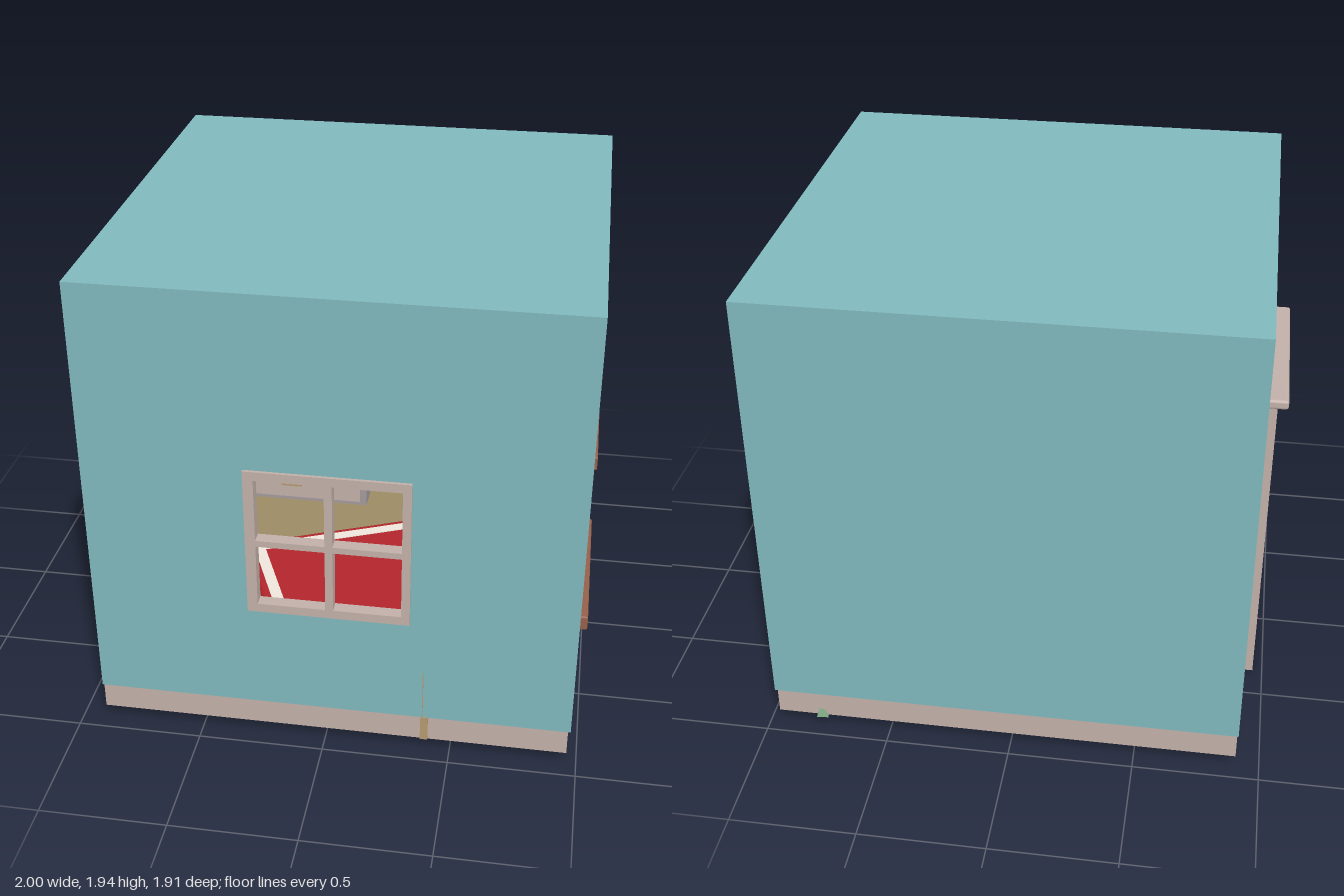
import * as THREE from 'three';
import { RoundedBoxGeometry } from 'three/addons/geometries/RoundedBoxGeometry.js';

const mat = (color, extra = {}) => new THREE.MeshStandardMaterial({ color, ...extra });
const teal = mat(0x80b8bd), trim = mat(0xc2b0a8), wood = mat(0x96604a), doorWood = mat(0x80503c);
const tan = mat(0x9c8a64), red = mat(0xb3262c), white = mat(0xeee6dc), grey = mat(0xa39a9c);
const brass = mat(0xb39a70), yellow = mat(0xd8b860), cactusGreen = mat(0x4a9a45);
const leafGreen = mat(0x7fa883, { flatShading: true, side: THREE.DoubleSide });

export function createModel() {
  const model = new THREE.Group();

  const add = (name, geometry, material, parent = model) => {
    const mesh = new THREE.Mesh(geometry, material);
    mesh.name = name;
    parent.add(mesh);
    return mesh;
  };
  // Box from its limits on each axis; a radius rounds its edges
  const box = (name, x0, x1, y0, y1, z0, z1, material, radius = 0, parent = model) => {
    const size = [x1 - x0, y1 - y0, z1 - z0];
    const geometry = radius ? new RoundedBoxGeometry(...size, 3, radius) : new THREE.BoxGeometry(...size);
    const mesh = add(name, geometry, material, parent);
    mesh.position.set((x0 + x1) / 2, (y0 + y1) / 2, (z0 + z1) / 2);
    return mesh;
  };
  const rect = (x0, x1, y0, y1, Type = THREE.Shape) => new Type([
    new THREE.Vector2(x0, y0), new THREE.Vector2(x1, y0), new THREE.Vector2(x1, y1), new THREE.Vector2(x0, y1)]);
  // Plate with rectangular openings, extruded along z
  const plate = (outer, holes, depth) => {
    const shape = rect(...outer);
    holes.forEach(h => shape.holes.push(rect(...h, THREE.Path)));
    return new THREE.ExtrudeGeometry(shape, { depth, bevelEnabled: false });
  };

  // Room shell
  add('frontWall', plate([-0.91, 0.97, 0.165, 1.94], [[-0.27, 0.315, 0.635, 1.215]], 0.03), teal).position.z = 0.91;
  box('backWall', -0.91, 0.97, 0.165, 1.94, -0.945, -0.915, teal);
  box('leftWall', 0.94, 0.97, 0.165, 1.94, -0.915, 0.91, teal);
  box('rightWall', -0.91, -0.88, 0.165, 1.94, -0.915, 0.91, teal);
  box('ceiling', -0.88, 0.94, 1.91, 1.94, -0.915, 0.91, teal);
  box('floor', -0.89, 0.95, 0.055, 0.075, -0.93, 0.92, tan);
  const skirting = plate([-0.905, 0.96, -0.935, 0.94], [[-0.86, 0.92, -0.89, 0.895]], 0.13);
  add('skirting', skirting.rotateX(-Math.PI / 2), trim).position.y = 0.055;
  box('skirtingPost', 0.383, 0.413, 0.056, 0.165, 0.9, 0.943, brass);
  box('thinRod', 0.389, 0.392, 0.165, 0.39, 0.9, 0.942, brass);

  // Window frame with four openings
  const panes = [];
  for (const [x0, x1] of [[-0.25, 0.012], [0.042, 0.302]])
    for (const [y0, y1] of [[0.65, 0.912], [0.938, 1.2]]) panes.push([x0, x1, y0, y1]);
  add('windowFrame', plate([-0.29, 0.335, 0.613, 1.237], panes, 0.05), trim).position.z = 0.902;

  // Door in the side wall
  box('doorSlab', -0.96, -0.888, 0, 1.345, -0.355, 0.355, trim);
  box('doorLintel', -1, -0.87, 1.342, 1.382, -0.4, 0.39, trim, 0.012);
  box('doorLeaf', -0.885, -0.865, 0.076, 1.3, -0.29, 0.29, doorWood);
  for (const s of [-1, 1]) {
    const z = s * 0.325;
    box('doorJamb', -0.885, -0.85, 0.076, 1.345, z - 0.035, z + 0.035, trim);
    for (const y of [0.2, 0.75])
      box('doorPanel', -0.866, -0.855, y, y + 0.45, s * 0.14 - 0.1, s * 0.14 + 0.1, doorWood);
  }

  // Wall shelves, passing through the wall
  box('lowerShelf', 0.74, 1, 0.575, 0.638, 0.135, 0.828, wood, 0.008);
  box('upperShelf', 0.74, 1, 0.917, 0.98, -0.48, 0.215, wood, 0.008);

  // Dry stems on the upper shelf
  [[-0.325, -0.325, 1.135], [-0.285, -0.312, 1.13], [-0.262, -0.29, 1.11]].forEach(([z0, z1, top]) => {
    const stem = new THREE.LineCurve3(new THREE.Vector3(0.962, 0.98, z0), new THREE.Vector3(0.969, top, z1));
    add('dryStem', new THREE.TubeGeometry(stem, 1, 0.003, 5), yellow);
  });

  // Rug with a pale border, turned on the floor
  const rug = new THREE.Group();
  rug.name = 'rug';
  rug.position.set(0.02, 0, 0);
  rug.rotation.y = 0.41;
  model.add(rug);
  box('rugBody', -0.47, 0.47, 0.035, 0.095, -0.48, 0.48, red, 0.028, rug);
  const border = plate([-0.43, 0.43, -0.44, 0.44], [[-0.38, 0.38, -0.39, 0.39]], 0.004);
  add('rugBorder', border.rotateX(-Math.PI / 2), white, rug).position.y = 0.094;

  // Cabinet against the back wall
  box('cabinet', -0.82, -0.08, 0.054, 0.645, -0.91, -0.69, grey);
  box('cabinetTop', -0.86, -0.01, 0.64, 0.68, -0.912, -0.66, trim, 0.019);
  for (let i = 0; i < 3; i++) {
    box('drawer', -0.79, -0.11, 0.1 + i * 0.18, 0.26 + i * 0.18, -0.7, -0.675, trim);
    box('drawerHandle', -0.5, -0.4, 0.17 + i * 0.18, 0.19 + i * 0.18, -0.675, -0.66, brass);
  }

  // Potted cactus on the cabinet
  const cactus = new THREE.Group();
  cactus.name = 'pottedCactus';
  cactus.position.set(-0.165, 0.68, -0.79);
  model.add(cactus);
  const lathe = (points, n = 24) => new THREE.LatheGeometry(points.map(p => new THREE.Vector2(...p)), n);
  add('potBase', lathe([[0, 0], [0.053, 0], [0.07, 0.075]]), mat(0x3478a0), cactus);
  add('potBody', lathe([[0.07, 0.075], [0.08, 0.122]]), mat(0x86b7b6), cactus);
  add('potRim', lathe([[0.078, 0.12], [0.09, 0.122], [0.09, 0.155], [0.078, 0.155], [0.07, 0.14], [0, 0.14]]), mat(0x6fb0bd), cactus);
  for (const [x, r, top] of [[-0.04, 0.045, 0.3], [0.04, 0.033, 0.235]]) {
    const stem = add('cactusStem', new THREE.CapsuleGeometry(r, top - 0.1 - 2 * r, 6, 14), cactusGreen, cactus);
    stem.position.set(x, (top + 0.1) / 2, 0);
  }

  // Floor plants: arching leaves around a pot
  const plant = (x, z, reach, count) => {
    const group = new THREE.Group();
    group.name = 'floorPlant';
    group.position.set(x, 0.075, z);
    model.add(group);
    add('plantPot', lathe([[0, 0], [0.08, 0], [0.11, 0.17], [0.095, 0.17], [0, 0.15]], 12), white, group);
    for (let i = 0; i < count; i++) {
      const leaf = new THREE.PlaneGeometry(1, 1, 2, 6);
      const p = leaf.attributes.position;
      for (let k = 0; k < p.count; k++) {
        const t = p.getY(k) + 0.5, side = p.getX(k);
        p.setXYZ(k, side * 0.12 * Math.sin(Math.PI * Math.min(t, 0.98)),
          0.15 + 1.1 * t * (1 - t) - 0.1 * t - 0.03 * Math.abs(side), t * reach);
      }
      leaf.computeVertexNormals();
      add('plantLeaf', leaf, leafGreen, group).rotation.y = (i / count) * Math.PI * 2;
    }
  };
  plant(0.62, -0.6, 0.27, 8);
  plant(-0.73, 0.74, 0.13, 6);

  // Leaf tips poking through the floor and walls
  const tips = [[0.948, -0.51, 0.03, 0.055], [0.78, -0.928, 0.033, 0.075], [0.32, -0.73, 0.03, 0.05], [0.48, -0.33, 0.035, 0.05],
    [-0.65, 0.62, 0.025, 0.04], [-0.87, 0.62, 0.022, 0.04], [-0.63, 0.88, 0.022, 0.04], [-0.86, 0.88, 0.022, 0.04]];
  tips.forEach(([x, z, r, h], i) => {
    const tip = add('leafTip', new THREE.ConeGeometry(r, h, 4), leafGreen);
    tip.position.set(x, 0.047 + h / 2, z);
    tip.rotation.y = i * 0.9;
  });

  return model;
}
